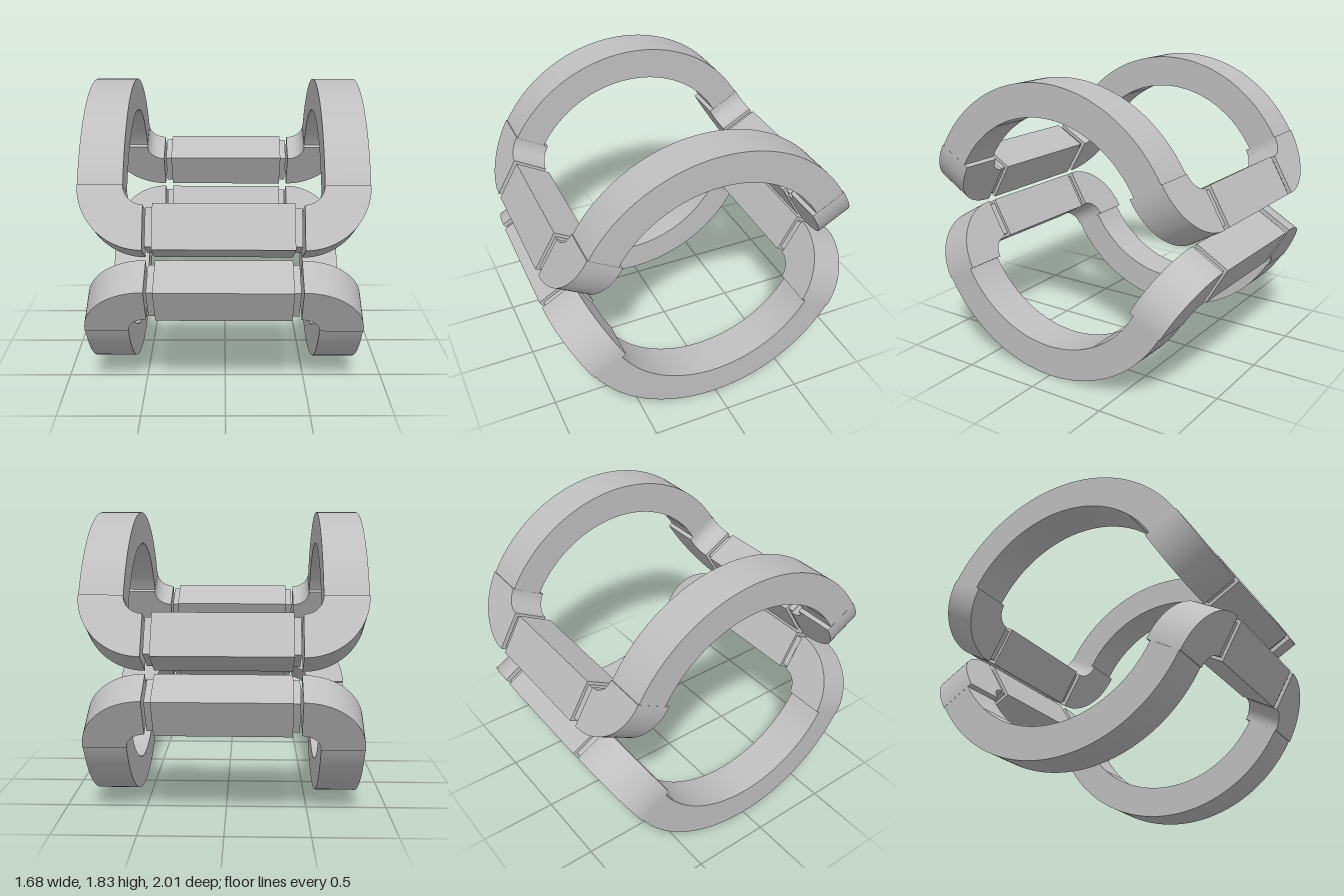
import * as THREE from 'three';
import { toCreasedNormals } from 'three/addons/utils/BufferGeometryUtils.js';

const grey = new THREE.MeshStandardMaterial({ color: 0xbfbfbf });
grey.name = 'grey';

const END = Math.PI / 6; // angle above horizontal where each arch stops

function add(parent, name, geometry) {
  const mesh = new THREE.Mesh(geometry, grey);
  mesh.name = name;
  parent.add(mesh);
  return mesh;
}

// band between two arcs, extruded along z from z0 to z1
function ringSector(cx, rIn, rOut, a0, a1, z0, z1, segments) {
  const shape = new THREE.Shape();
  shape.absarc(cx, 0, rOut, a0, a1, false);
  shape.absarc(cx, 0, rIn, a1, a0, true);
  const geometry = new THREE.ExtrudeGeometry(shape, {
    depth: z1 - z0, bevelEnabled: false, curveSegments: segments,
  });
  geometry.translate(0, 0, z0);
  return toCreasedNormals(geometry, 0.4);
}

// box spanning radial range u and tangential range t
function bar(length, u0, u1, t0, t1) {
  return new THREE.BoxGeometry(length, t1 - t0, u1 - u0)
    .translate(0, -(t0 + t1) / 2, (u0 + u1) / 2);
}

// one saddle-shaped coil, origin on the axis of its arches
function createCoil(name) {
  const coil = new THREE.Group();
  coil.name = name;

  // arches over the two ends
  for (const s of [1, -1]) {
    const arch = add(coil, s > 0 ? 'leftArch' : 'rightArch',
      ringSector(0, 0.73, 0.93, END, Math.PI - END, -0.129, 0.129, 72));
    arch.rotation.y = Math.PI / 2;
    arch.position.x = s * 0.699;
  }

  // straight sides with rounded corners, tilted tangent to the arch ends
  for (const s of [1, -1]) {
    const turn = new THREE.Group();
    turn.name = s > 0 ? 'frontSide' : 'backSide';
    turn.rotation.y = s > 0 ? 0 : Math.PI;
    const side = new THREE.Group();
    side.name = 'tiltedSide';
    side.rotation.x = -END;
    turn.add(side);
    coil.add(turn);

    add(side, 'straightBar', bar(0.804, 0.7, 0.94, 0.107, 0.372));
    add(side, 'barNeck', bar(0.884, 0.72, 0.92, 0.128, 0.351));
    add(side, 'leftCorner',
      ringSector(0.455, 0.114, 0.374, -Math.PI / 2, 0, 0.702, 0.937, 24));
    add(side, 'rightCorner',
      ringSector(-0.455, 0.114, 0.374, Math.PI, Math.PI * 1.5, 0.702, 0.937, 24));
  }
  return coil;
}

export function createModel() {
  const model = new THREE.Group();
  model.name = 'saddleCoilPair';

  const upper = createCoil('upperCoil');
  upper.position.y = 0.895;
  const lower = createCoil('lowerCoil');
  lower.rotation.z = Math.PI;
  lower.position.y = 0.93;
  model.add(upper, lower);

  // slight twist of the whole pair about the vertical
  model.rotation.y = -0.011;
  return model;
}
